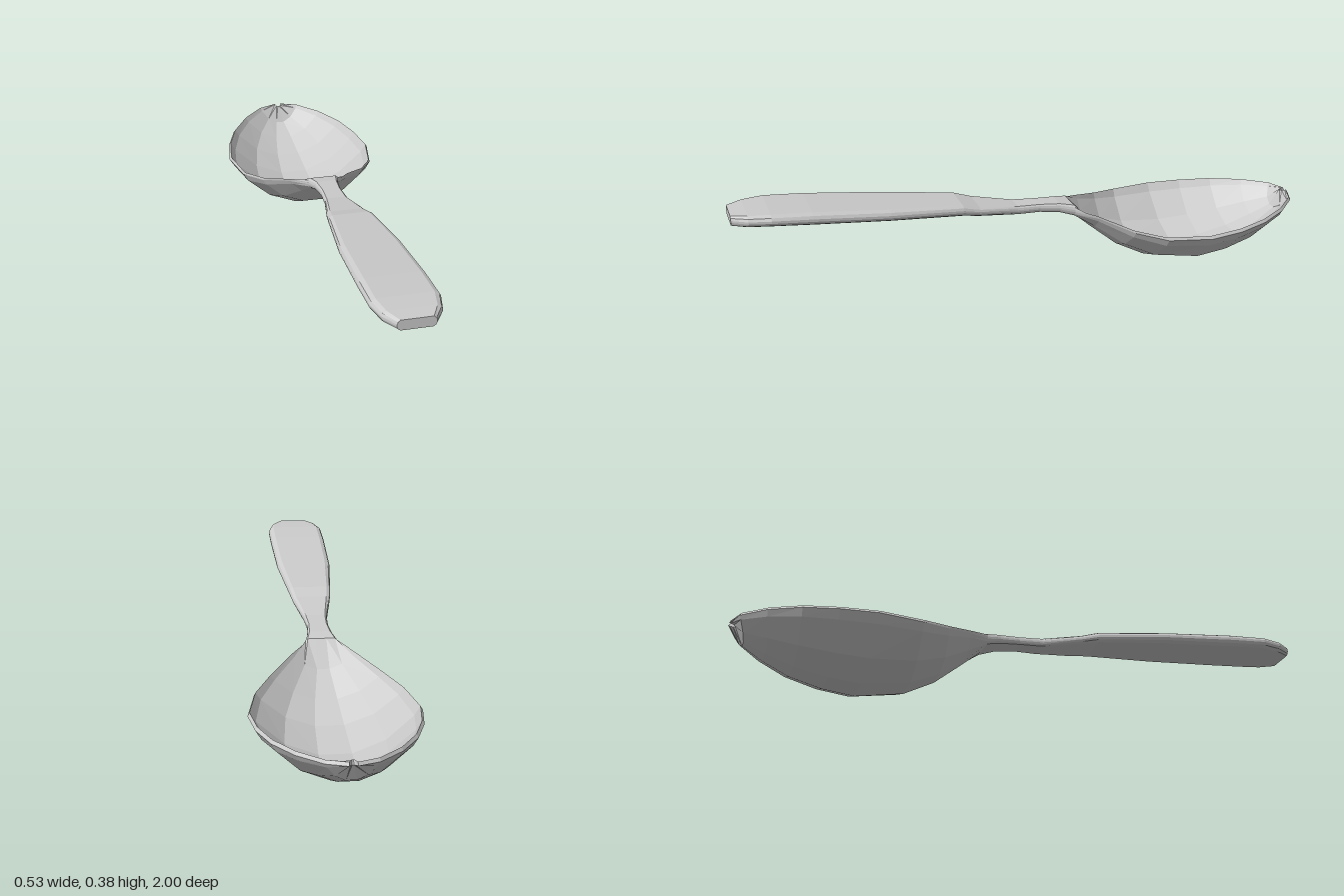
import * as THREE from 'three';

// Half profiles, outer edge to centre: [share of half width, share of height]
const HANDLE_HALF = [[1, 0.4], [0.95, 0.17], [0.82, 0], [0.3, 0]];
const BOWL_HALF = [[1, 0], [0.93, 0.2], [0.6, 0.72], [0.2, 1]];

// Handle stations: [z, half width, top y, bottom y]
const HANDLE = [
  [1, 0.057, 0.375, 0.342],
  [0.95, 0.088, 0.377, 0.340],
  [0.88, 0.104, 0.377, 0.338],
  [0.75, 0.104, 0.367, 0.325],
  [0.5, 0.098, 0.339, 0.300],
  [0.25, 0.074, 0.310, 0.274],
  [0.19, 0.065, 0.292, 0.262],
  [0.05, 0.040, 0.268, 0.240],
  [-0.03, 0.036, 0.263, 0.236],
  [-0.1, 0.042, 0.258, 0.227],
  [-0.15, 0.055, 0.250, 0.212],
];

// Bowl stations: [rim z, half width, rim y, bottom y, bottom z]
const BOWL = [
  [-0.22, 0.105, 0.222, 0.152, -0.22],
  [-0.32, 0.185, 0.187, 0.080, -0.31],
  [-0.42, 0.240, 0.168, 0.030, -0.41],
  [-0.57, 0.267, 0.163, 0.001, -0.57],
  [-0.69, 0.250, 0.165, 0.010, -0.68],
  [-0.80, 0.213, 0.170, 0.034, -0.79],
  [-0.90, 0.152, 0.175, 0.070, -0.88],
  [-0.975, 0.077, 0.179, 0.106, -0.95],
  [-1, 0.012, 0.180, 0.164, -0.978],
];

// Full width of a half profile, running from -x to +x
const mirror = (half) => [
  ...half.map(([u, v]) => [-u, v]),
  ...[...half].reverse(),
];

// Closed ring of the handle: underside, then the top back again
function handleRing([z, w, top, bottom]) {
  const under = mirror(HANDLE_HALF);
  const h = top - bottom;
  return [
    ...under.map(([u, v]) => [u * w, bottom + v * h, z]),
    ...under.reverse().map(([u, v]) => [u * w, top - v * h, z]),
  ];
}

// Closed ring of the bowl: outer shell, then the hollow inside
function bowlRing([z, w, rim, bottom, zb]) {
  const shell = mirror(BOWL_HALF);
  const lip = 0.01;
  const depth = rim - lip - bottom;
  const outer = shell.map(([u, v]) => [u * w, rim - lip - v * depth, z + v * (zb - z)]);
  const inner = shell.reverse().map(([u, v]) =>
    [u * w * 0.975, rim - v * (depth - 0.004), z + v * (zb - z) + 0.006]);
  return [...outer, ...inner];
}

// Skin over successive rings, optionally capped at either end
function loft(name, rings, capStart, capEnd, material) {
  const n = rings[0].length;
  const last = (rings.length - 1) * n;
  const index = [];
  for (let s = 0; s < rings.length - 1; s++) {
    for (let i = 0; i < n; i++) {
      const a = s * n + i;
      const b = s * n + (i + 1) % n;
      index.push(a, a + n, b + n, a, b + n, b);
    }
  }
  // Strips join the underside to the top, so concave ends also close cleanly
  for (let i = 0; i < n / 2 - 1; i++) {
    const j = n - 1 - i;
    if (capStart) index.push(i, i + 1, j - 1, i, j - 1, j);
    if (capEnd) index.push(last + i, last + j - 1, last + i + 1, last + i, last + j, last + j - 1);
  }
  const geometry = new THREE.BufferGeometry();
  geometry.setAttribute('position', new THREE.Float32BufferAttribute(rings.flat(2), 3));
  geometry.setIndex(index);
  geometry.computeVertexNormals();
  const mesh = new THREE.Mesh(geometry, material);
  mesh.name = name;
  return mesh;
}

export function createModel() {
  const material = new THREE.MeshStandardMaterial({ color: 0xcccccc, flatShading: true });
  const handleRings = HANDLE.map(handleRing);
  // The bowl grows out of the last ring of the neck
  const bowlRings = [handleRings[handleRings.length - 1], ...BOWL.map(bowlRing)];

  const spoon = new THREE.Group();
  spoon.name = 'spoon';
  spoon.add(
    loft('handle', handleRings, true, false, material),
    loft('bowl', bowlRings, false, true, material),
  );
  return spoon;
}
